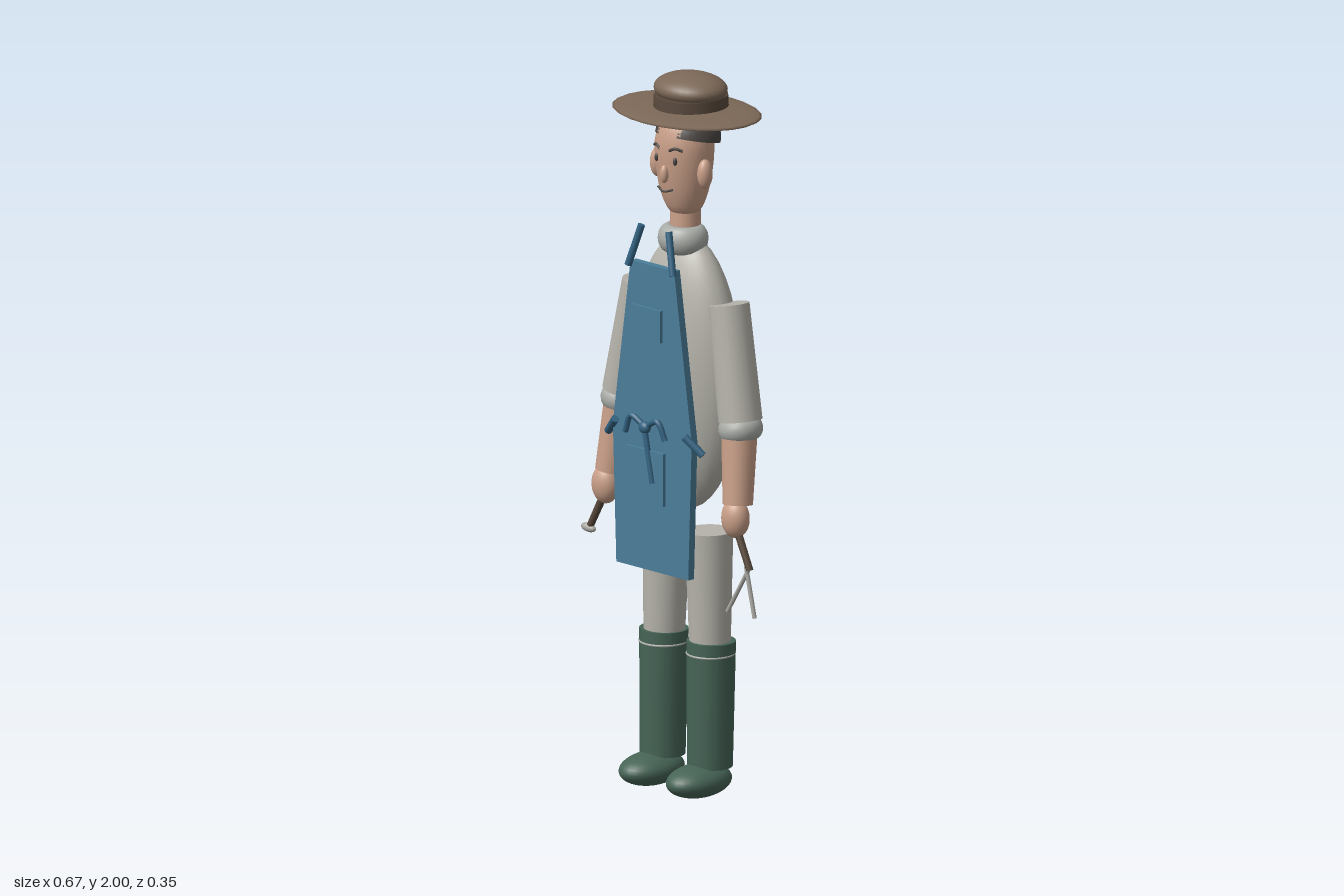
import * as THREE from 'three';

const V = (x, y, z) => new THREE.Vector3(x, y, z);

export function createModel() {
  const model = new THREE.Group();
  const mat = (name, color) => {
    const m = new THREE.MeshStandardMaterial({ color });
    m.name = name;
    return m;
  };
  const cloth = mat('pale cloth', 0xb5b3aa);
  const knit = mat('grey knit', 0xa9aca7);
  const skin = mat('skin', 0xc99f88);
  const felt = mat('hat felt', 0x7c6857);
  const hairMat = mat('dark hair', 0x4a4643);
  const denim = mat('apron blue', 0x4a7d99);
  const tie = mat('tie blue', 0x336382);
  const rubber = mat('boot green', 0x466456);
  const metal = mat('metal', 0xaaa9a3);
  const leather = mat('dark leather', 0x59493c);
  hairMat.side = THREE.DoubleSide;

  const add = (name, geo, material, pos = [0, 0, 0], scale = [1, 1, 1]) => {
    const m = new THREE.Mesh(geo, material);
    m.name = name;
    m.position.set(...pos);
    m.scale.set(...scale);
    model.add(m);
    return m;
  };
  const ball = (name, material, pos, radii) =>
    add(name, new THREE.SphereGeometry(1, 32, 20), material, pos, radii);
  // tapered rod from a (radius ra) to b (radius rb)
  const rod = (name, material, a, b, ra, rb = ra, sides = 24) => {
    const d = b.clone().sub(a);
    const m = add(name, new THREE.CylinderGeometry(rb, ra, d.length(), sides), material);
    m.position.copy(a).addScaledVector(d, 0.5);
    m.quaternion.setFromUnitVectors(V(0, 1, 0), d.normalize());
    return m;
  };
  const tube = (name, material, pts, r) =>
    add(name, new THREE.TubeGeometry(new THREE.CatmullRomCurve3(pts), 16, r, 8), material);
  const ring = (name, material, pos, r, t, scale) => {
    const g = new THREE.TorusGeometry(r, t, 14, 32).rotateX(Math.PI / 2);
    return add(name, g, material, pos, scale);
  };

  // hat
  add('hatBrim', new THREE.SphereGeometry(1, 24, 12), felt, [0, 1.896, 0], [0.23, 0.015, 0.171]);
  add('hatBand', new THREE.CylinderGeometry(0.098, 0.1, 0.04, 32), leather, [0, 1.92, -0.015], [1, 1, 1.05]);
  ball('hatCrown', felt, [0, 1.957, -0.014], [0.108, 0.043, 0.092]);

  // head, tapering to the chin
  const profile = [[0, 1.608], [0.028, 1.612], [0.05, 1.63], [0.068, 1.675], [0.079, 1.73],
    [0.084, 1.785], [0.081, 1.83], [0.06, 1.88], [0, 1.9]];
  const headCurve = new THREE.SplineCurve(profile.map(p => new THREE.Vector2(...p)));
  const headPts = headCurve.getPoints(24);
  headPts.forEach(p => { p.x = Math.max(p.x, 0); });
  add('head', new THREE.LatheGeometry(headPts, 32), skin, [0, 0, 0.01], [1, 1, 0.92]);
  const hair = add('hair', new THREE.SphereGeometry(1, 32, 12, 0, Math.PI * 2, 0, Math.PI * 0.5),
    hairMat, [0, 1.822, -0.003], [0.093, 0.095, 0.086]);
  hair.rotation.x = -0.22;
  ball('nose', skin, [0, 1.735, 0.087], [0.012, 0.025, 0.012]);
  tube('mouth', hairMat, [V(-0.028, 1.695, 0.083), V(0, 1.687, 0.09), V(0.028, 1.695, 0.083)], 0.003);

  // neck, collar and torso
  rod('neck', skin, V(0, 1.54, 0.008), V(0, 1.635, 0.005), 0.043, 0.041);
  ring('collar', knit, [0, 1.543, 0.015], 0.042, 0.03, [1, 1.3, 0.92]);
  ball('torso', cloth, [0, 1.17, 0.002], [0.185, 0.385, 0.103]);

  for (const s of [-1, 1]) {
    // face details
    ball('ear', skin, [s * 0.09, 1.74, 0.022], [0.02, 0.041, 0.022]);
    ball('eye', hairMat, [s * 0.035, 1.775, 0.081], [0.006, 0.011, 0.006]);
    tube('eyebrow', hairMat, [V(s * 0.018, 1.804, 0.086), V(s * 0.036, 1.811, 0.081),
      V(s * 0.054, 1.805, 0.07)], 0.004);

    // arm
    rod('sleeve', cloth, V(s * 0.221, 1.075, 0.018), V(s * 0.164, 1.388, 0.005), 0.06, 0.056);
    const cuff = ring('cuff', knit, [s * 0.224, 1.053, 0.02], 0.036, 0.025, [1, 1.3, 1]);
    cuff.rotation.z = s * 0.17;
    rod('forearm', skin, V(s * 0.243, 0.85, 0.05), V(s * 0.224, 1.04, 0.025), 0.041, 0.049);
    ball('hand', skin, [s * 0.247, 0.815, 0.063], [0.042, 0.055, 0.035]);

    // leg and boot
    rod('trouserLeg', cloth, V(s * 0.088, 0.38, 0), V(s * 0.08, 0.735, -0.003), 0.055, 0.066);
    rod('boot', rubber, V(s * 0.09, 0.08, 0.003), V(s * 0.09, 0.43, -0.002), 0.062, 0.067);
    ring('bootSeam', knit, [s * 0.09, 0.395, 0], 0.065, 0.003, [1, 1, 1]);
    ball('foot', rubber, [s * 0.09, 0.046, 0.045], [0.071, 0.045, 0.105]);

    // apron ties
    rod('neckStrap', tie, V(s * 0.085, 1.475, 0.14), V(s * 0.052, 1.59, 0.122), 0.01, 0.01, 12);
    rod('sideTie', tie, V(s * 0.18, 0.988, 0.12), V(s * 0.132, 1.035, 0.142), 0.011, 0.011, 12);
    tube('bowLoop', tie, [V(0, 1.04, 0.16), V(s * 0.05, 1.065, 0.164), V(s * 0.076, 1.015, 0.16)], 0.008);
  }

  // apron
  const shape = new THREE.Shape([[-0.137, 0.632], [0.137, 0.632], [0.15, 1.02], [0.083, 1.487],
    [-0.083, 1.487], [-0.15, 1.02]].map(p => new THREE.Vector2(...p)));
  add('apron', new THREE.ExtrudeGeometry(shape, { depth: 0.022, bevelEnabled: false }), denim, [0, 0, 0.111]);
  add('chestPocket', new THREE.BoxGeometry(0.11, 0.09, 0.009), denim, [0, 1.33, 0.154]);
  add('lowerPocket', new THREE.BoxGeometry(0.145, 0.148, 0.009), denim, [0, 0.905, 0.16]);
  ball('bowKnot', tie, [0, 1.04, 0.162], [0.019, 0.017, 0.014]);
  rod('bowTail', tie, V(0.032, 0.89, 0.165), V(0, 1.04, 0.163), 0.008, 0.008, 12);

  // scoop in the right hand
  rod('scoopHandle', leather, V(-0.302, 0.688, 0.066), V(-0.25, 0.785, 0.066), 0.01, 0.011, 12);
  const scoop = ball('scoop', metal, [-0.31, 0.68, 0.066], [0.026, 0.012, 0.012]);
  scoop.rotation.z = -0.1;

  // tongs in the left hand
  rod('tongsHandle', leather, V(0.305, 0.68, 0.066), V(0.256, 0.785, 0.066), 0.01, 0.011, 12);
  rod('tongsInnerArm', metal, V(0.222, 0.55, 0.068), V(0.305, 0.69, 0.066), 0.006, 0.006, 10);
  rod('tongsOuterArm', metal, V(0.325, 0.55, 0.068), V(0.29, 0.69, 0.066), 0.006, 0.006, 10);

  return model;
}
